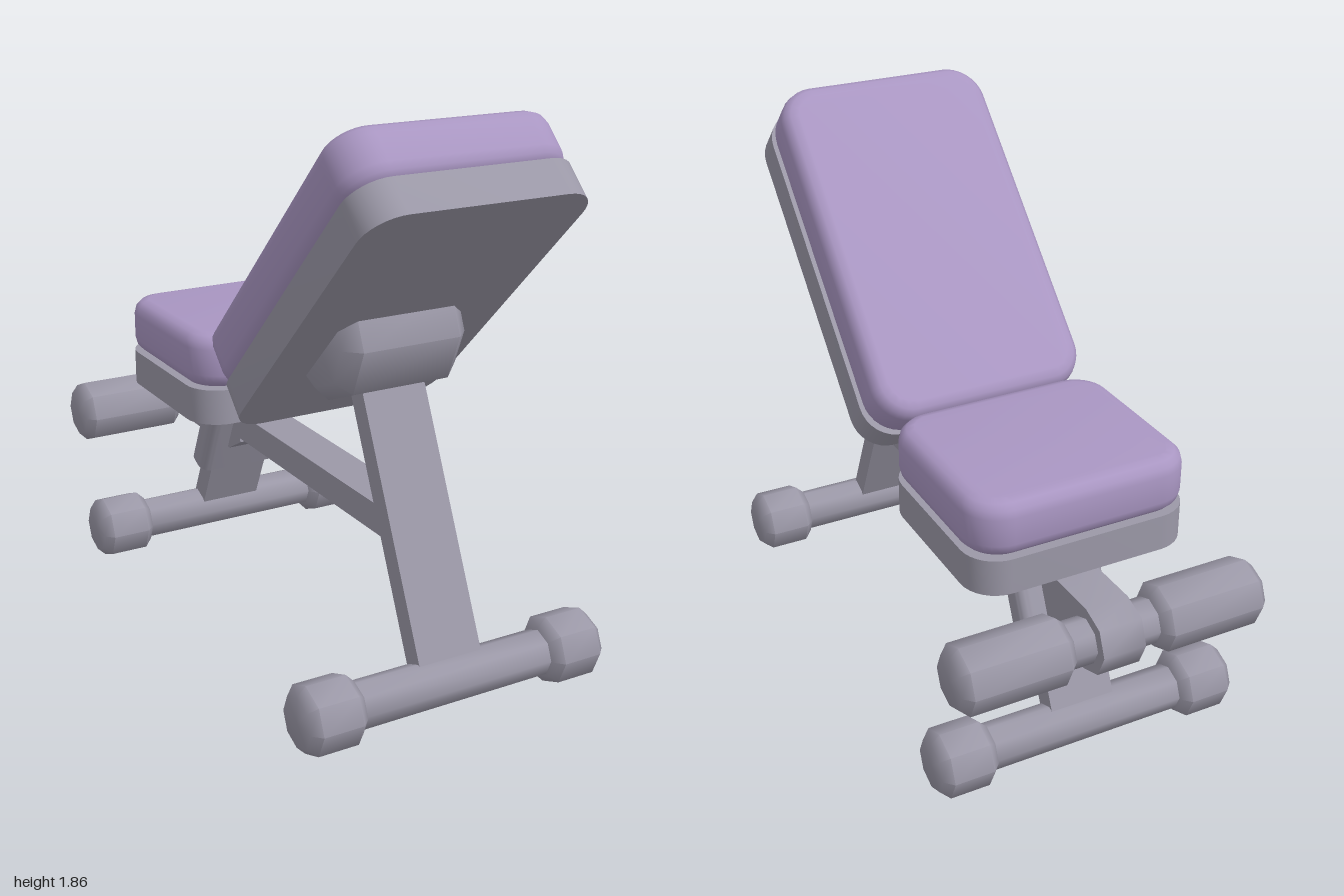
import * as THREE from 'three';
import { toCreasedNormals } from 'three/addons/utils/BufferGeometryUtils.js';

const CREASE = 0.9;

export function createModel() {
  const frame = new THREE.MeshStandardMaterial({ color: 0x9b98a7 });
  frame.name = 'frame grey';
  const padding = new THREE.MeshStandardMaterial({ color: 0xa996c2 });
  padding.name = 'padding lilac';

  const bench = new THREE.Group();
  bench.name = 'weightBench';

  function add(name, geometry, material = frame, parent = bench) {
    const mesh = new THREE.Mesh(geometry, material);
    mesh.name = name;
    parent.add(mesh);
    return mesh;
  }

  // Slab with rounded plan corners; its thickness rises from y = 0
  function slab(width, length, radius, height, bevel = 0) {
    const w = width / 2 - bevel, l = length / 2 - bevel, r = radius - bevel;
    const shape = new THREE.Shape();
    shape.moveTo(-w + r, -l);
    shape.lineTo(w - r, -l);
    shape.absarc(w - r, -l + r, r, -Math.PI / 2, 0);
    shape.absarc(w - r, l - r, r, 0, Math.PI / 2);
    shape.absarc(-w + r, l - r, r, Math.PI / 2, Math.PI);
    shape.absarc(-w + r, -l + r, r, Math.PI, Math.PI * 1.5);
    const geometry = new THREE.ExtrudeGeometry(shape, {
      depth: height - 2 * bevel, curveSegments: 4, bevelEnabled: bevel > 0,
      bevelSize: bevel, bevelThickness: bevel, bevelSegments: 3,
    });
    geometry.translate(0, 0, bevel).rotateX(-Math.PI / 2);
    return toCreasedNormals(geometry, CREASE);
  }

  // Eight-sided roller lying along x with chamfered ends
  function roller(radius, length, chamfer) {
    const h = length / 2;
    const profile = [[0, -h], [radius - chamfer, -h], [radius, -h + chamfer],
      [radius, h - chamfer], [radius - chamfer, h], [0, h]];
    const geometry = new THREE.LatheGeometry(profile.map(p => new THREE.Vector2(...p)), 8);
    return toCreasedNormals(geometry.rotateZ(-Math.PI / 2), CREASE);
  }

  // Plain eight-sided bar along x
  function bar(radius, length) {
    const geometry = new THREE.CylinderGeometry(radius, radius, length, 8);
    return toCreasedNormals(geometry.rotateZ(-Math.PI / 2), CREASE);
  }

  // Flat strut between two [y, z] points
  function strut(name, [y0, z0], [y1, z1], width, thickness) {
    const dy = y1 - y0, dz = z1 - z0;
    const mesh = add(name, new THREE.BoxGeometry(width, Math.hypot(dy, dz), thickness));
    mesh.position.set(0, (y0 + y1) / 2, (z0 + z1) / 2);
    mesh.rotation.x = Math.atan2(dz, dy);
    return mesh;
  }

  // Seat: board and cushion
  const seat = new THREE.Group();
  seat.name = 'seat';
  seat.position.z = -0.433;
  bench.add(seat);
  add('seatBoard', slab(0.775, 0.665, 0.12, 0.125), frame, seat).position.y = 0.71;
  add('seatCushion', slab(0.775, 0.665, 0.13, 0.192, 0.05), padding, seat).position.y = 0.835;

  // Backrest: same construction, tilted 45 degrees
  const backrest = new THREE.Group();
  backrest.name = 'backrest';
  backrest.rotation.x = -Math.PI / 4;
  bench.add(backrest);
  add('backrestBoard', slab(0.775, 1.248, 0.12, 0.125), frame, backrest).position.set(0, 0.47, 1.26);
  add('backrestCushion', slab(0.775, 1.248, 0.13, 0.195, 0.05), padding, backrest).position.set(0, 0.595, 1.26);

  // Pivot behind the backrest
  add('backrestPivot', roller(0.215, 0.45, 0.05)).position.set(0, 1.15, 0.4);

  // Legs and the beam joining them
  strut('frontLeg', [0.13, 0.853], [1.1, 0.415], 0.23, 0.075);
  const rearLeg = strut('rearLeg', [0.13, -0.745], [0.72, -0.475], 0.23, 0.08);
  add('mainBeam', new THREE.BoxGeometry(0.15, 0.1, 1.15)).position.set(0, 0.555, 0.055);

  // Adjusting sleeve round the rear leg
  const sleeve = add('rearLegSleeve', slab(0.325, 0.115, 0.04, 0.285));
  sleeve.rotation.x = rearLeg.rotation.x;
  sleeve.position.set(0, 0.355, -0.645);

  // Feet: cross bars with caps
  for (const [name, z] of [['front', 0.857], ['rear', -0.745]]) {
    add(name + 'CrossBar', bar(0.077, 0.8)).position.set(0, 0.12, z);
    for (const side of [-1, 1]) {
      add(name + (side > 0 ? 'LeftFoot' : 'RightFoot'), roller(0.115, 0.198, 0.03))
        .position.set(side * 0.444, 0.12, z);
    }
  }

  // Bracket carrying the leg rollers, outlined in (z, y)
  const outline = [[-0.437, 0.49], [-0.45, 0.62], [-0.475, 0.655], [-0.88, 0.662], [-0.963, 0.632],
    [-0.997, 0.55], [-0.963, 0.468], [-0.88, 0.437], [-0.53, 0.437]];
  const bracket = new THREE.ExtrudeGeometry(
    new THREE.Shape(outline.map(([z, y]) => new THREE.Vector2(-z, y))),
    { depth: 0.15, bevelEnabled: false });
  bracket.translate(0, 0, -0.075).rotateY(Math.PI / 2);
  add('rollerBracket', toCreasedNormals(bracket, CREASE));

  // Leg rollers on their axle
  add('rollerAxle', bar(0.077, 0.5)).position.set(0, 0.55, -0.883);
  for (const side of [-1, 1]) {
    add(side > 0 ? 'leftLegRoller' : 'rightLegRoller', roller(0.115, 0.39, 0.03))
      .position.set(side * 0.348, 0.55, -0.883);
  }

  return bench;
}
